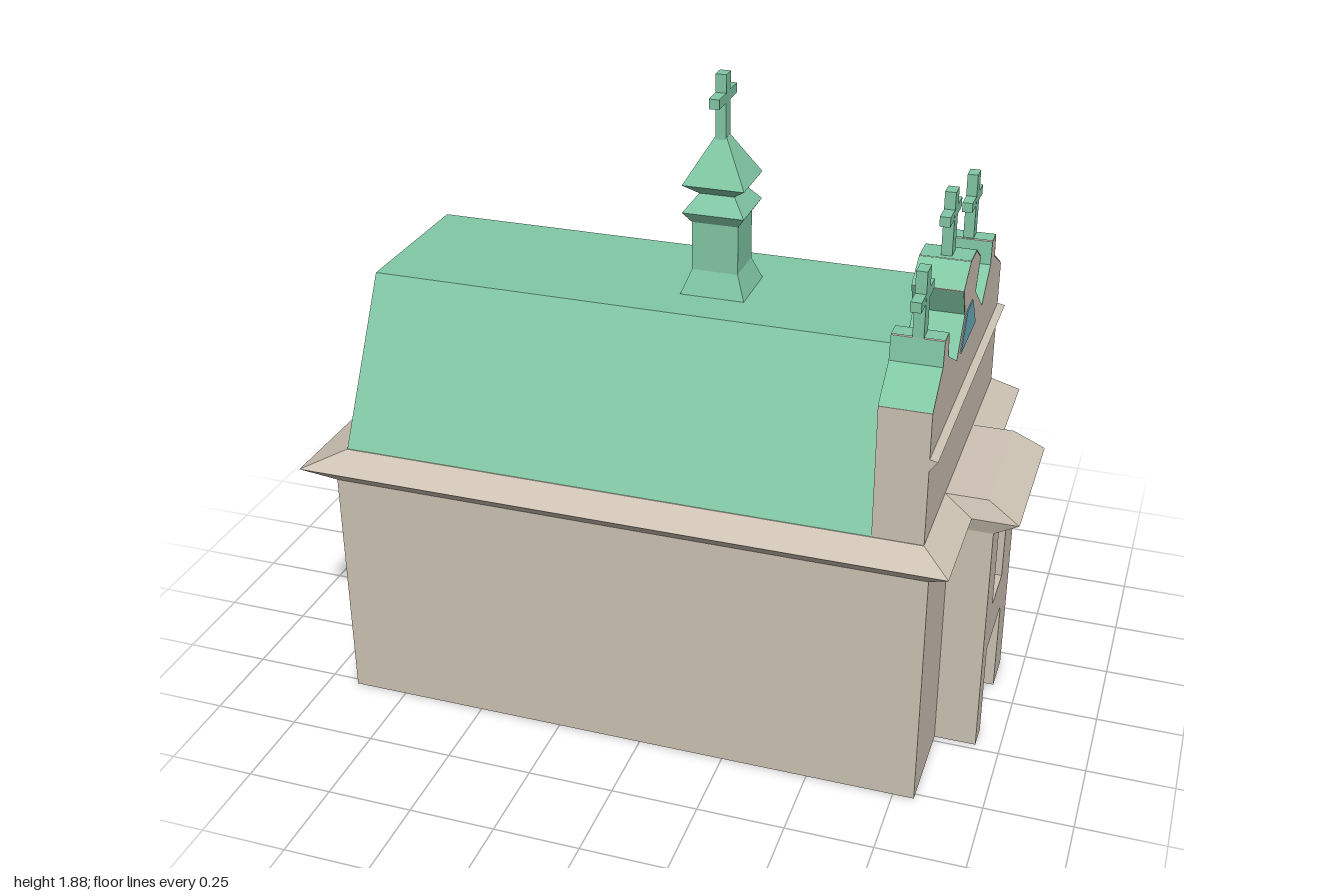
import * as THREE from 'three';

const mat = (color) => new THREE.MeshStandardMaterial({ color, flatShading: true });
const stone = mat(0xcec3b4), copper = mat(0x82c8a5), glass = mat(0x6cafbf);
const copperSheet = copper.clone();
copperSheet.side = THREE.DoubleSide;

export function createModel() {
  const model = new THREE.Group();
  model.name = 'church';

  const add = (name, geometry, material, parent = model) => {
    const mesh = new THREE.Mesh(geometry, material);
    mesh.name = name;
    parent.add(mesh);
    return mesh;
  };

  const box = (name, x0, x1, y0, y1, z0, z1, material, parent) => {
    const g = new THREE.BoxGeometry(x1 - x0, y1 - y0, z1 - z0);
    g.translate((x0 + x1) / 2, (y0 + y1) / 2, (z0 + z1) / 2);
    return add(name, g, material, parent);
  };

  // Closed solid through rectangles [y, x0, x1, z0, z1], listed from the bottom up
  const loft = (name, rings, material, parent) => {
    const pos = [];
    const corners = ([y, x0, x1, z0, z1]) => [[x0, y, z1], [x1, y, z1], [x1, y, z0], [x0, y, z0]];
    const quad = (a, b, c, d) => pos.push(...a, ...b, ...c, ...a, ...c, ...d);
    for (let i = 0; i < rings.length - 1; i++) {
      const lo = corners(rings[i]), hi = corners(rings[i + 1]);
      for (let k = 0; k < 4; k++) quad(lo[k], lo[(k + 1) % 4], hi[(k + 1) % 4], hi[k]);
    }
    quad(...corners(rings[0]).reverse());
    quad(...corners(rings[rings.length - 1]));
    const g = new THREE.BufferGeometry();
    g.setAttribute('position', new THREE.Float32BufferAttribute(pos, 3));
    g.computeVertexNormals();
    return add(name, g, material, parent);
  };

  // Outline of [z, y] points, with optional holes, extruded along x
  const vectors = (pts) => pts.map(([z, y]) => new THREE.Vector2(-z, y));
  const extrudeX = (name, pts, x0, x1, material, holes = []) => {
    const shape = new THREE.Shape(vectors(pts));
    for (const h of holes) shape.holes.push(new THREE.Path(vectors(h)));
    const g = new THREE.ExtrudeGeometry(shape, { depth: x1 - x0, bevelEnabled: false });
    g.rotateY(Math.PI / 2).translate(x0, 0, 0);
    return add(name, g, material);
  };
  const rect = (a0, a1, b0, b1) => [[a0, b0], [a1, b0], [a1, b1], [a0, b1]];

  // Nave, with a pierced outer layer on the back wall for the recessed windows
  box('nave', -0.91, 0.81, 0, 0.72, -0.48, 0.52, stone);
  const wall = new THREE.Shape(rect(-0.91, 0.81, 0, 0.72).map((p) => new THREE.Vector2(...p)));
  for (const [x0, x1] of [[-0.02, 0.185], [-0.49, -0.29]]) {
    wall.holes.push(new THREE.Path(rect(x0, x1, 0.41, 0.715).map((p) => new THREE.Vector2(...p))));
    box('sideWindow', x0, x1, 0.41, 0.715, -0.485, -0.475, glass);
  }
  const wallGeo = new THREE.ExtrudeGeometry(wall, { depth: 0.04, bevelEnabled: false });
  add('backWall', wallGeo.translate(0, 0, -0.52), stone);

  // Entrance bay with a door recess and a window recess
  box('entranceBay', 0.8, 0.89, 0, 0.72, -0.2, 0.23, stone);
  extrudeX('entranceFront',
    [[0.23, 0], [0.155, 0], [0.155, 0.285], [-0.075, 0.285], [-0.075, 0], [-0.2, 0], [-0.2, 0.72], [0.23, 0.72]],
    0.89, 0.93, stone, [rect(-0.04, 0.115, 0.415, 0.715)]);
  box('entranceWindow', 0.885, 0.895, 0.415, 0.715, -0.04, 0.115, glass);
  box('door', 0.885, 0.9, 0, 0.285, -0.075, 0.155, stone);

  // Cornices
  loft('cornice', [
    [0.715, -0.91, 0.81, -0.52, 0.52],
    [0.76, -1, 0.87, -0.57, 0.57],
    [0.815, -0.875, 0.79, -0.51, 0.51]], stone);
  loft('entranceCornice', [
    [0.715, 0.7, 0.93, -0.2, 0.23],
    [0.76, 0.7, 1, -0.215, 0.245],
    [0.815, 0.7, 0.91, -0.19, 0.225]], stone);

  // Flat-topped roof with a stone gable end
  extrudeX('roof', [[0.51, 0.81], [-0.51, 0.81], [-0.22, 1.257], [0.255, 1.257]], -0.875, 0.66, [stone, copper]);

  // Facade with three pinnacles
  const crest = [
    [0.508, 1.2], [0.4, 1.278], [0.392, 1.347], [0.34, 1.347], [0.33, 1.278], [0.235, 1.2],
    [0.235, 1.2], [0.108, 1.3], [0.15, 1.383], [0.066, 1.432], [-0.018, 1.432], [-0.095, 1.383], [-0.05, 1.3],
    [-0.185, 1.2], [-0.295, 1.278], [-0.3, 1.347], [-0.355, 1.347], [-0.363, 1.278], [-0.505, 1.2]];
  // The valley is shared by the two neighbouring pinnacles
  crest.splice(5, 2, [0.19, 1.2]);
  extrudeX('facade', [[0.508, 0.81], ...crest, [-0.505, 0.81]], 0.65, 0.79, stone);

  // Copper covering along the crest, leaving two inner slopes bare
  const bare = [4, 11];
  const sheet = [];
  for (let i = 0; i < crest.length - 1; i++) {
    if (bare.includes(i)) continue;
    const [za, ya] = crest[i], [zb, yb] = crest[i + 1];
    const len = Math.hypot(zb - za, yb - ya);
    const nz = (yb - ya) / len * 0.003, ny = -(zb - za) / len * 0.003;
    const p = (x, z, y) => [x, y + ny, z + nz];
    const a = p(0.65, za, ya), b = p(0.79, za, ya), c = p(0.79, zb, yb), d = p(0.65, zb, yb);
    sheet.push(...a, ...b, ...c, ...a, ...c, ...d);
  }
  const sheetGeo = new THREE.BufferGeometry();
  sheetGeo.setAttribute('position', new THREE.Float32BufferAttribute(sheet, 3));
  sheetGeo.computeVertexNormals();
  add('crestCovering', sheetGeo, copperSheet);

  extrudeX('gableWindow', [[0.145, 1.2], [-0.07, 1.2], [0, 1.297], [0.08, 1.297]], 0.78, 0.793, glass);
  loft('facadeLedge', [
    [1.035, 0.7, 0.79, -0.505, 0.508],
    [1.065, 0.7, 0.812, -0.505, 0.508],
    [1.07, 0.7, 0.79, -0.505, 0.508]], stone);

  // Roof turret
  const tx = 0.09, tz = 0.035;
  const profile = [[1.25, 0.095], [1.325, 0.066], [1.465, 0.066], [1.497, 0.088], [1.545, 0.05],
    [1.576, 0.088], [1.7, 0.016]];
  loft('turret', profile.map(([y, r]) => [y, tx - r, tx + r, tz - r, tz + r]), copper);

  // Crosses: x, z, foot, top, height of the arm, half width of the upright
  const crosses = [
    [tx, tz, 1.69, 1.875, 1.81, 0.02],
    [0.72, 0.367, 1.34, 1.53, 1.455, 0.025],
    [0.72, 0.025, 1.425, 1.615, 1.552, 0.023],
    [0.72, -0.326, 1.34, 1.54, 1.462, 0.023]];
  for (const [x, z, y0, y1, arm, w] of crosses) {
    const cross = new THREE.Group();
    cross.name = 'cross';
    model.add(cross);
    box('upright', x - 0.015, x + 0.015, y0, y1, z - w, z + w, copper, cross);
    box('arm', x - 0.0145, x + 0.0145, arm - 0.014, arm + 0.014, z - 0.08, z + 0.08, copper, cross);
  }
  return model;
}
